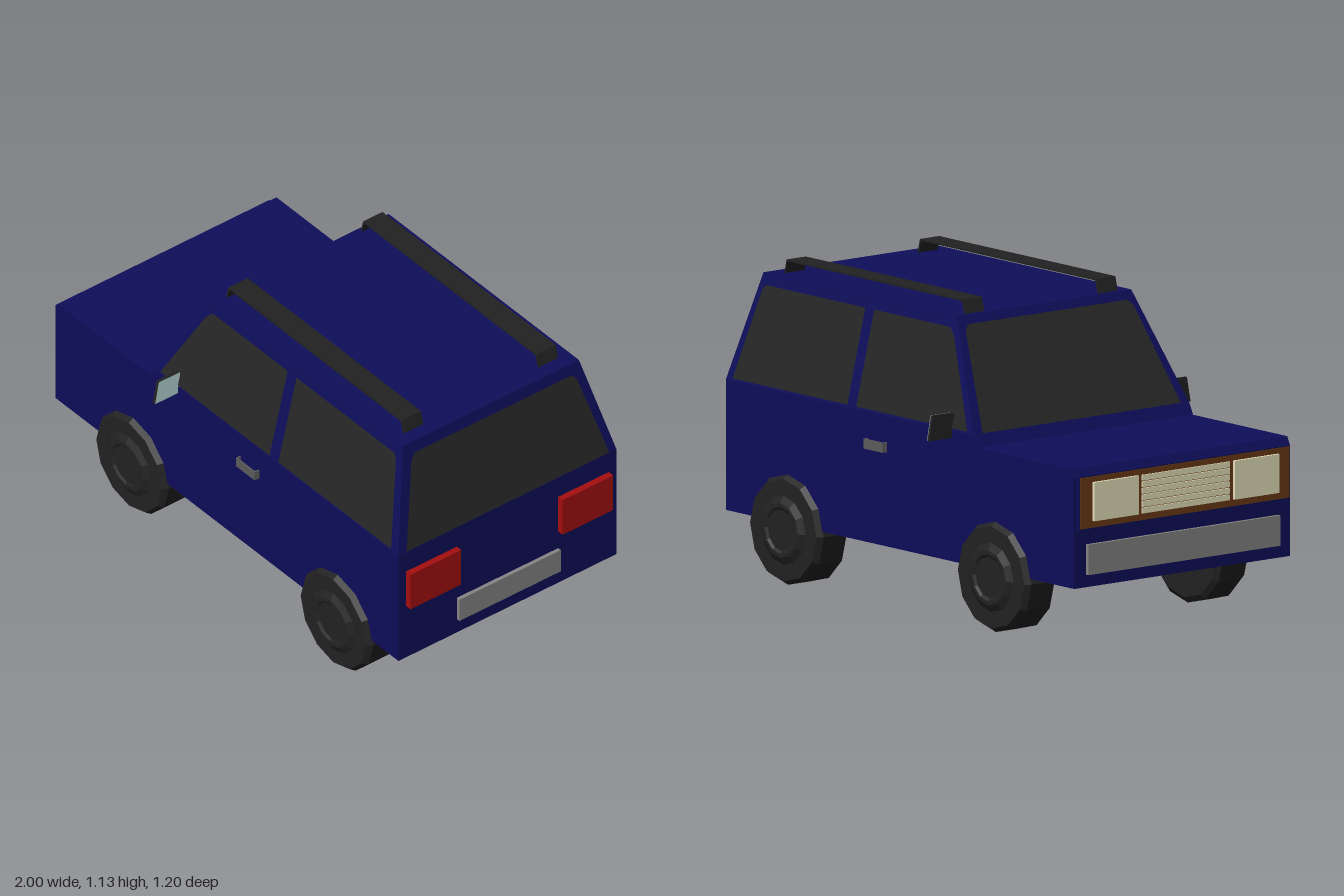
import * as THREE from 'three';

const material = (name, color) => {
  const m = new THREE.MeshStandardMaterial({ color, flatShading: true, side: THREE.DoubleSide });
  m.name = name;
  return m;
};

export function createModel() {
  const car = new THREE.Group();
  car.name = 'car';
  const paint = material('navy paint', 0x0e0e5a);
  const glass = material('dark glass', 0x262626);
  const rubber = material('black rubber', 0x222222);
  const steel = material('grey steel', 0x858585);
  const handleGrey = material('handle grey', 0x5c5c5c);
  const red = material('tail light red', 0xa50e0e);
  const cream = material('lamp cream', 0xe6e2bc);
  const brown = material('grille brown', 0x6b3a15);
  const mirrorGlass = material('mirror glass', 0xb8dad8);

  const add = (name, geometry, mat, parent = car) => {
    const mesh = new THREE.Mesh(geometry, mat);
    mesh.name = name;
    parent.add(mesh);
    return mesh;
  };
  // Box given by its minimum and maximum corners
  const box = (name, mat, x0, x1, y0, y1, z0, z1) => {
    const mesh = add(name, new THREE.BoxGeometry(x1 - x0, y1 - y0, z1 - z0), mat);
    mesh.position.set((x0 + x1) / 2, (y0 + y1) / 2, (z0 + z1) / 2);
    return mesh;
  };
  const outline = (points) => new THREE.Shape(points.map(([a, b]) => new THREE.Vector2(a, b)));
  // Flat panel whose 2D points are laid onto a sloping surface
  const panel = (name, points, mat, place) => {
    const g = new THREE.ShapeGeometry(outline(points));
    const p = g.attributes.position;
    for (let i = 0; i < p.count; i++) p.setXYZ(i, ...place(p.getX(i), p.getY(i)));
    g.computeVertexNormals();
    return add(name, g, mat);
  };

  // Lower body with bonnet
  const body = new THREE.ExtrudeGeometry(outline([
    [-0.97, 0.22], [0.975, 0.22], [0.975, 0.69], [-0.409, 0.69],
    [-0.43, 0.65], [-0.955, 0.65], [-0.97, 0.62],
  ]), { depth: 0.99, bevelEnabled: false });
  body.translate(0, 0, -0.495);
  add('lowerBody', body, paint);

  // Tapered cabin
  const cabin = new THREE.BoxGeometry(1, 1, 1);
  const cp = cabin.attributes.position;
  for (let i = 0; i < cp.count; i++) {
    const top = cp.getY(i) > 0, back = cp.getX(i) > 0, side = Math.sign(cp.getZ(i));
    cp.setXYZ(i, back ? (top ? 0.88 : 0.975) : (top ? -0.2 : -0.409),
      top ? 1.08 : 0.69, side * (top ? 0.4 : 0.495));
  }
  cabin.computeVertexNormals();
  add('cabin', cabin, paint);

  // Windows
  const gap = 0.004;
  for (const s of [1, -1]) {
    const onSide = (x, y) => [x, y, s * (0.495 - (y - 0.69) * 0.2436 + gap)];
    panel('frontSideWindow', [[-0.375, 0.7], [0.245, 0.7], [0.245, 1.04], [-0.18, 1.04], [-0.21, 1.01]], glass, onSide);
    panel('rearSideWindow', [[0.295, 0.7], [0.935, 0.7], [0.865, 1.02], [0.85, 1.04], [0.295, 1.04]], glass, onSide);
  }
  const endGlass = (low, high, y0, y1) => [
    [-low, y0], [low, y0], [high + 0.005, y1 - 0.02], [high - 0.015, y1],
    [-high + 0.015, y1], [-high - 0.005, y1 - 0.02],
  ];
  panel('windshield', endGlass(0.455, 0.38, 0.695, 1.05), glass,
    (z, y) => [-0.409 + (y - 0.69) * 0.536 - gap, y, z]);
  panel('rearWindow', endGlass(0.46, 0.37, 0.695, 1.04), glass,
    (z, y) => [0.975 - (y - 0.69) * 0.2436 + gap, y, z]);

  // Front end: surround, grille and bumper
  box('grilleSurround', paint, -0.984, -0.96, 0.43, 0.625, -0.485, 0.485);
  box('grillePlate', brown, -0.987, -0.983, 0.435, 0.62, -0.48, 0.48);
  for (let i = 0; i < 6; i++) {
    const y = 0.46 + i * 0.0237;
    box('grilleSlat', cream, -0.993, -0.985, y, y + 0.0205, -0.2, 0.2);
  }
  box('frontBumper', steel, -0.983, -0.965, 0.265, 0.375, -0.44, 0.44);

  // Rear bumper
  box('rearBumper', steel, 0.97, 0.99, 0.28, 0.375, -0.23, 0.23);

  // Thin bent strip: a flat bar standing on two legs
  const strip = (name, x0, x1, height, lean, width, t, mat) => {
    const g = new THREE.ExtrudeGeometry(outline([
      [x0, 0], [x0 + lean, height], [x1 - lean, height], [x1, 0],
      [x1 - t, 0], [x1 - lean - t, height - t], [x0 + lean + t, height - t], [x0 + t, 0],
    ]), { depth: width, bevelEnabled: false });
    g.translate(0, 0, -width / 2);
    return add(name, g, mat);
  };

  // Wheel profile, revolved with twelve sides
  const wheelProfile = [
    [0, -0.07], [0.18, -0.07], [0.2, -0.055], [0.2, 0.05], [0.185, 0.072],
    [0.125, 0.072], [0.1, 0.087], [0.085, 0.087], [0.075, 0.08], [0, 0.08],
  ].map(([r, h]) => new THREE.Vector2(r, h));
  const wheelGeometry = new THREE.LatheGeometry(wheelProfile, 12);

  for (const s of [1, -1]) {
    const z = (a, b) => (s > 0 ? [a, b] : [-b, -a]);
    box('headlight', cream, -0.998, -0.985, 0.46, 0.6, ...z(0.22, 0.425));
    box('tailLight', red, 0.97, 1.0, 0.45, 0.605, ...z(0.23, 0.46));

    strip('roofRail', -0.185, 0.825, 0.05, 0.013, 0.088, 0.006, rubber).position.set(0, 1.08, s * 0.306);

    const handle = strip('doorHandle', -0.055, 0.055, 0.02, 0.002, 0.036, 0.006, handleGrey);
    handle.rotation.x = s * Math.PI / 2;
    handle.position.set(0.13, 0.578, s * 0.495);

    // Door mirror: dark shell with a pale face toward the rear
    const shape = [[0.47, 0.665], [0.6, 0.665], [0.583, 0.755], [0.488, 0.755]];
    const shell = new THREE.ExtrudeGeometry(outline(shape), { depth: 0.01, bevelEnabled: false });
    shell.rotateY(-Math.PI / 2);
    if (s < 0) shell.rotateY(Math.PI).translate(-0.01, 0, 0);
    shell.translate(-0.278, 0, 0);
    add('mirrorShell', shell, rubber);
    panel('mirrorGlass', shape, mirrorGlass, (a, y) => [-0.275, y, s * a]);

    for (const x of [-0.53, 0.63]) {
      const wheel = add('wheel', wheelGeometry, rubber);
      wheel.rotation.x = s * Math.PI / 2;
      wheel.position.set(x, 0.2, s * 0.443);
    }
  }
  return car;
}
